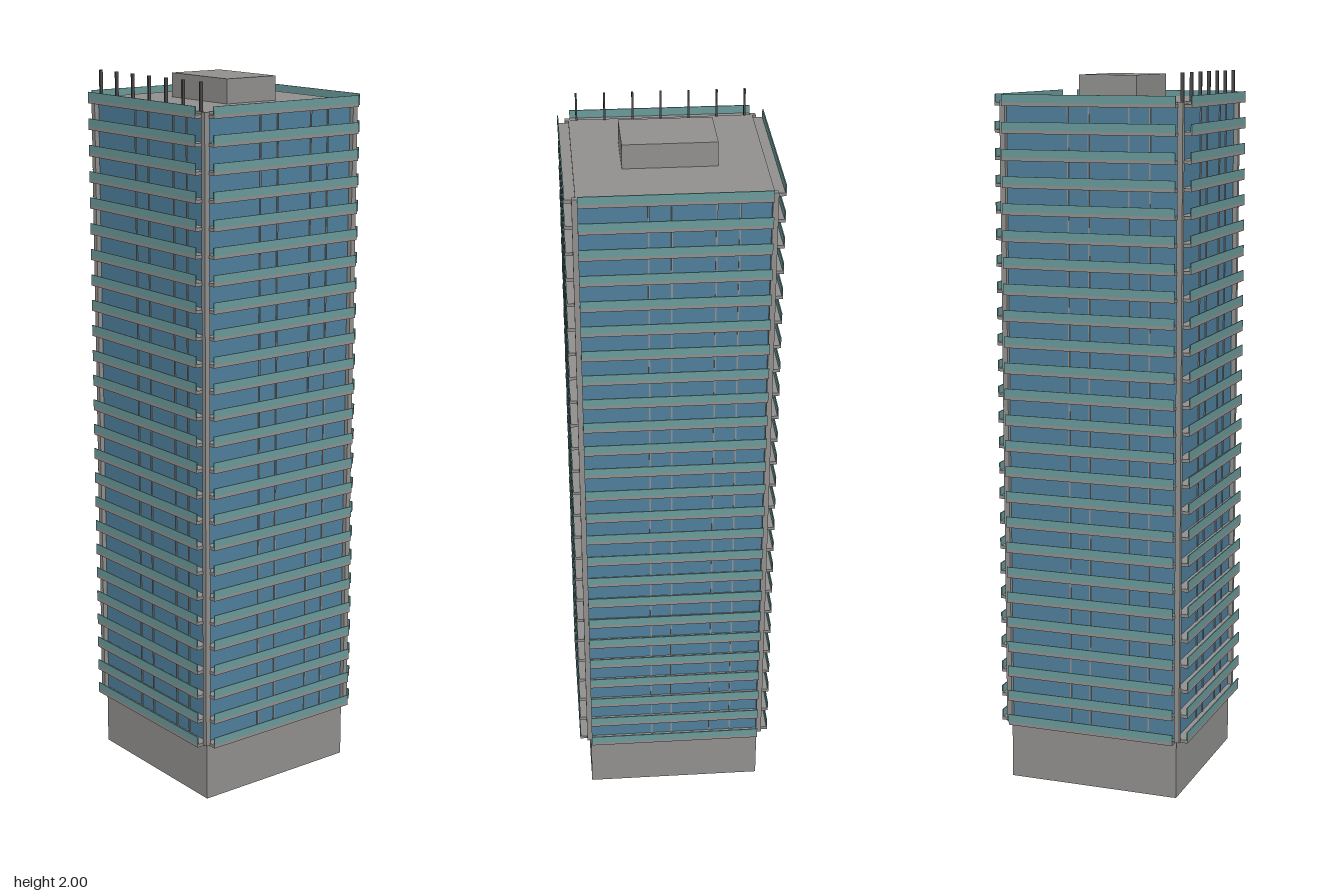
import * as THREE from 'three';

export function createModel() {
  const tower = new THREE.Group();
  tower.name = 'tower';
  const mat = (name, color, side = THREE.FrontSide) => {
    const m = new THREE.MeshStandardMaterial({ color, side });
    m.name = name;
    return m;
  };
  const concrete = mat('concrete', 0x91908e);
  const glass = mat('window glass', 0x4f7f9c, THREE.DoubleSide);
  const railing = mat('teal railing', 0x6a9a9a);
  const metal = mat('dark metal', 0x4a4a4a);

  // Box placed by its centre in x and z and its bottom in y
  const box = (parent, name, material, w, h, d, x, y, z) => {
    const mesh = new THREE.Mesh(new THREE.BoxGeometry(w, h, d), material);
    mesh.name = name;
    mesh.position.set(x, y + h / 2, z);
    parent.add(mesh);
    return mesh;
  };

  const baseTop = 0.168, roofTop = 1.925;
  const floors = 25, pitch = 0.0727, firstSlab = 0.165;
  const half = 0.248;

  // The same facade is turned onto all four sides of the hollow shaft
  for (let side = 0; side < 4; side++) {
    const facade = new THREE.Group();
    facade.name = ['front', 'left', 'back', 'right'][side] + 'Facade';
    facade.rotation.y = side * Math.PI / 2;
    tower.add(facade);

    // Open-bottomed podium wall
    box(facade, 'baseWall', concrete, half * 2, baseTop, 0.006, 0, 0, half - 0.003);

    // Curtain wall
    const h = roofTop - 0.005 - baseTop;
    const pane = new THREE.Mesh(new THREE.PlaneGeometry(half * 2 - 0.004, h), glass);
    pane.name = 'curtainWall';
    pane.position.set(0, baseTop + h / 2, half - 0.002);
    facade.add(pane);

    // Window mullions
    for (const x of [-0.067, -0.008, 0.106, 0.165]) {
      box(facade, 'mullion', concrete, 0.004, h, 0.004, x, baseTop, half - 0.001);
    }

    // Balcony slabs with solid railings
    for (let i = 0; i < floors; i++) {
      const y = firstSlab + i * pitch;
      box(facade, 'balconySlab', concrete, 0.492, 0.009, 0.036, 0, y, 0.262);
      box(facade, 'balconyRailing', railing, 0.492, 0.022, 0.003, 0, y + 0.009, 0.2785);
    }

    // Corner column
    box(facade, 'cornerColumn', concrete, 0.015, roofTop - baseTop, 0.015, 0.252, baseTop, 0.252);
  }

  // Roof and plant room
  box(tower, 'roof', concrete, 0.5, 0.01, 0.5, 0, roofTop - 0.01, 0);
  box(tower, 'plantRoom', concrete, 0.248, 0.066, 0.166, 0, roofTop, 0);

  // Row of masts along the front edge
  for (let i = -3; i <= 3; i++) {
    box(tower, 'mast', metal, 0.005, 2 - roofTop, 0.009, i * 0.076, roofTop, 0.248);
  }
  return tower;
}
